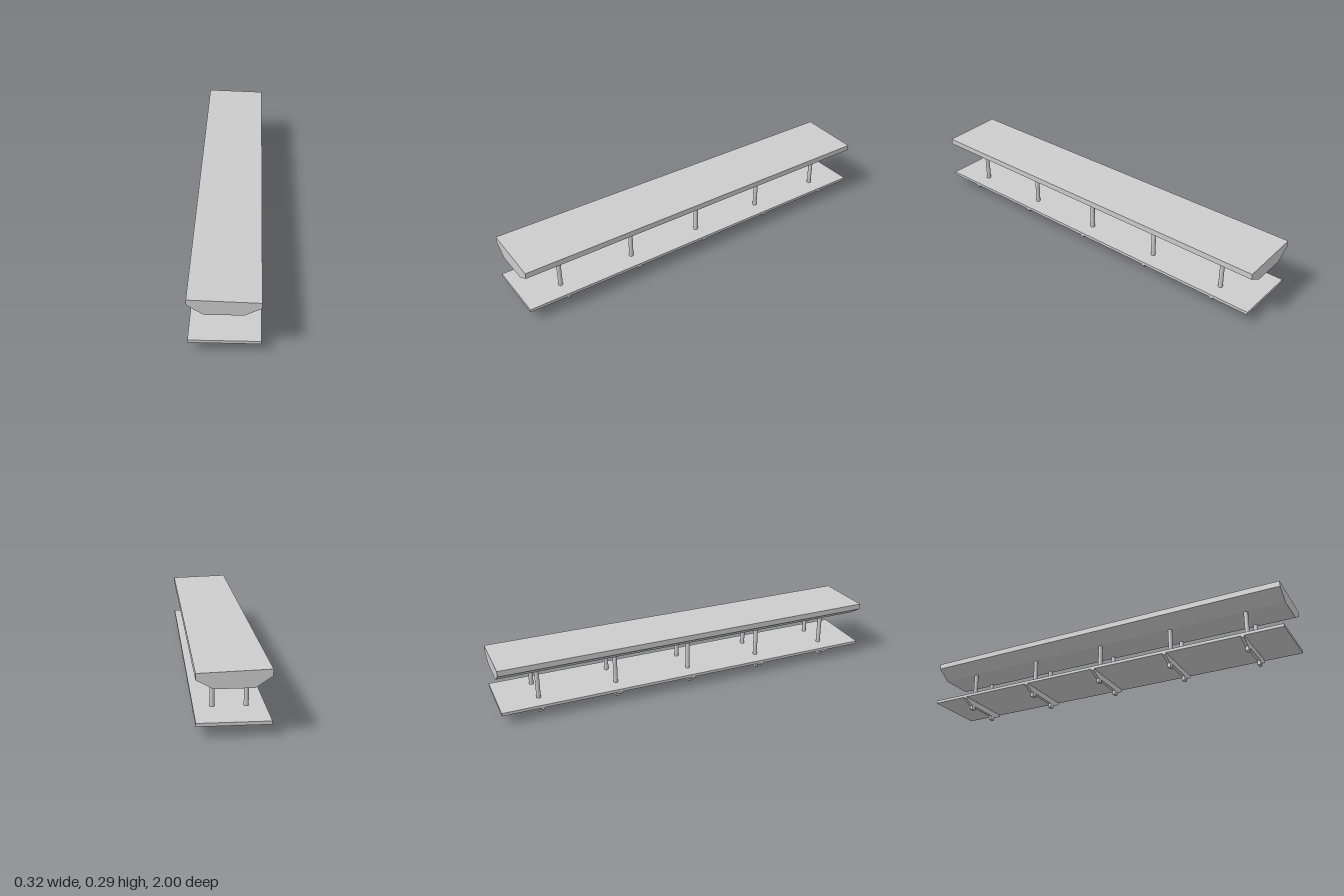
import * as THREE from 'three';

const material = new THREE.MeshStandardMaterial({ color: 0xcccccc });

function addMesh(parent, name, geometry, x = 0, y = 0, z = 0) {
  const mesh = new THREE.Mesh(geometry, material);
  mesh.name = name;
  mesh.position.set(x, y, z);
  parent.add(mesh);
  return mesh;
}

// Extrudes an x/y outline along z, centred on z = 0
function extrudeProfile(points, depth) {
  const shape = new THREE.Shape(points.map(([x, y]) => new THREE.Vector2(x, y)));
  const geometry = new THREE.ExtrudeGeometry(shape, { depth, bevelEnabled: false });
  return geometry.translate(0, 0, -depth / 2);
}

export function createModel() {
  const model = new THREE.Group();
  model.name = 'shelteredPlatform';

  // Roof: sloping top, tapered underside
  addMesh(model, 'roof', extrudeProfile([
    [-0.16, 0.264], [-0.087, 0.214], [0.087, 0.214],
    [0.16, 0.254], [0.16, 0.283], [-0.16, 0.293],
  ], 2));

  // Deck slab
  addMesh(model, 'deck', new THREE.BoxGeometry(0.32, 0.015, 2), 0, 0.0595, 0);

  // Tapered cross beam with two feet
  const beamGeometry = extrudeProfile([
    [-0.16, 0.052], [-0.16, 0.043], [-0.117, 0.021], [-0.103, 0.021],
    [-0.103, 0], [-0.076, 0], [-0.076, 0.021], [0.076, 0.021],
    [0.076, 0], [0.103, 0], [0.103, 0.021], [0.117, 0.021],
    [0.16, 0.043], [0.16, 0.052],
  ], 0.016);

  // Columns pass through the deck, flush with its underside
  const bottom = 0.0515, top = 0.216;
  const columnGeometry = new THREE.CylinderGeometry(0.011, 0.011, top - bottom, 24);

  // Five evenly spaced frames
  for (let i = -2; i <= 2; i++) {
    const frame = new THREE.Group();
    frame.name = 'supportFrame';
    frame.position.z = i * 0.4;
    addMesh(frame, 'crossBeam', beamGeometry);
    for (const side of [-1, 1]) {
      addMesh(frame, side > 0 ? 'leftColumn' : 'rightColumn', columnGeometry, side * 0.0755, (top + bottom) / 2, 0);
    }
    model.add(frame);
  }
  return model;
}
